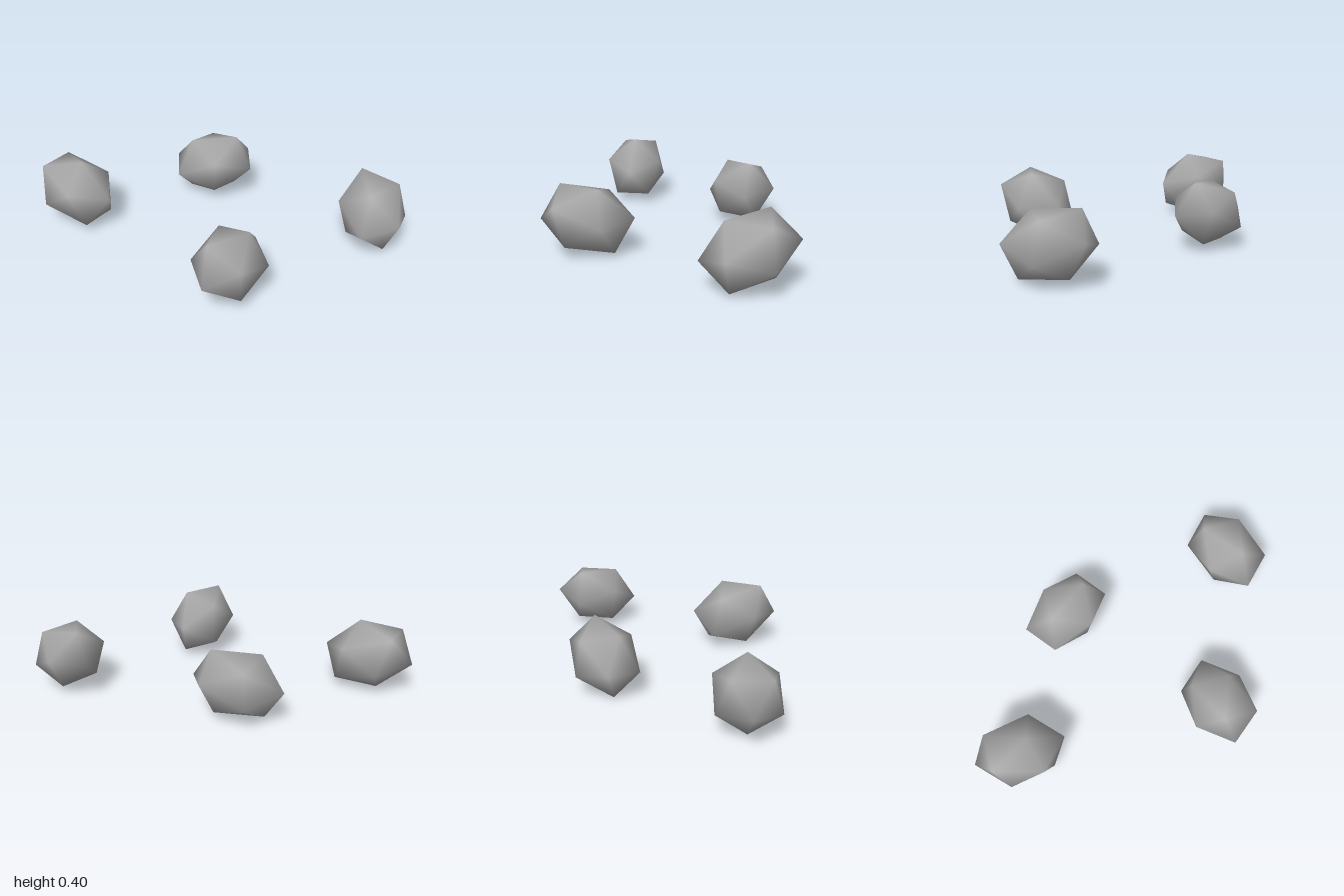
import * as THREE from 'three';

// Each stone is a stretched twenty-sided solid: a tip, the five corners
// around it, and the same six corners mirrored through the centre.
const STONES = [
  {
    name: 'frontRightStone', at: [-0.74, 0.2, 0.385], tip: [0.26, 0.018, 0],
    ring: [[0.06, 0.198, 0], [0.1, 0.066, 0.17], [0.16, -0.145, 0.105], [0.16, -0.145, -0.105], [0.1, 0.066, -0.17]],
  },
  {
    name: 'backRightStone', at: [-0.27, 0.202, -0.35], tip: [0.255, 0.015, -0.035],
    ring: [[0.133, 0.19, -0.055], [0.12, 0.075, 0.148], [0.092, -0.121, 0.119], [0.1, -0.155, -0.09], [0.125, 0.045, -0.2]],
  },
  {
    name: 'frontLeftStone', at: [0.412, 0.202, 0.437], tip: [0.0125, -0.008, 0.2575],
    ring: [[0.168, 0.095, 0.142], [-0.036, 0.18, 0.155], [-0.171, 0.01, 0.11], [-0.068, -0.18, 0.075], [0.138, -0.125, 0.093]],
  },
  {
    name: 'backLeftStone', at: [0.78, 0.203, -0.455], tip: [0.059, -0.046, 0.248],
    ring: [[0.214, 0.008, 0.105], [0.038, 0.154, 0.126], [-0.154, 0.058, 0.127], [-0.1, -0.147, 0.105], [0.131, -0.179, 0.09]],
  },
];

function stoneGeometry(tip, ring) {
  const half = [tip, ...ring];
  const corners = [...half, ...half.map((c) => c.map((v) => -v))];
  const index = [];
  for (let i = 0; i < 5; i++) {
    const a = 1 + i;
    const b = 1 + ((i + 1) % 5);
    const across = 7 + ((i + 3) % 5); // mirrored corner below edge a-b
    index.push(0, a, b, a, across, b); // cap and band
    index.push(6, b + 6, a + 6, a + 6, b + 6, across - 6); // mirrored cap and band
  }
  const geometry = new THREE.BufferGeometry();
  geometry.setAttribute('position', new THREE.Float32BufferAttribute(corners.flat(), 3));
  geometry.setIndex(index);
  geometry.computeVertexNormals(); // shared corners give smooth shading
  return geometry;
}

export function createModel() {
  const group = new THREE.Group();
  group.name = 'stones';
  const stoneGrey = new THREE.MeshStandardMaterial({ color: 0xaaaaaa });
  stoneGrey.name = 'stone grey';

  for (const { name, at, tip, ring } of STONES) {
    const stone = new THREE.Mesh(stoneGeometry(tip, ring), stoneGrey);
    stone.name = name;
    stone.position.set(...at);
    group.add(stone);
  }
  return group;
}
